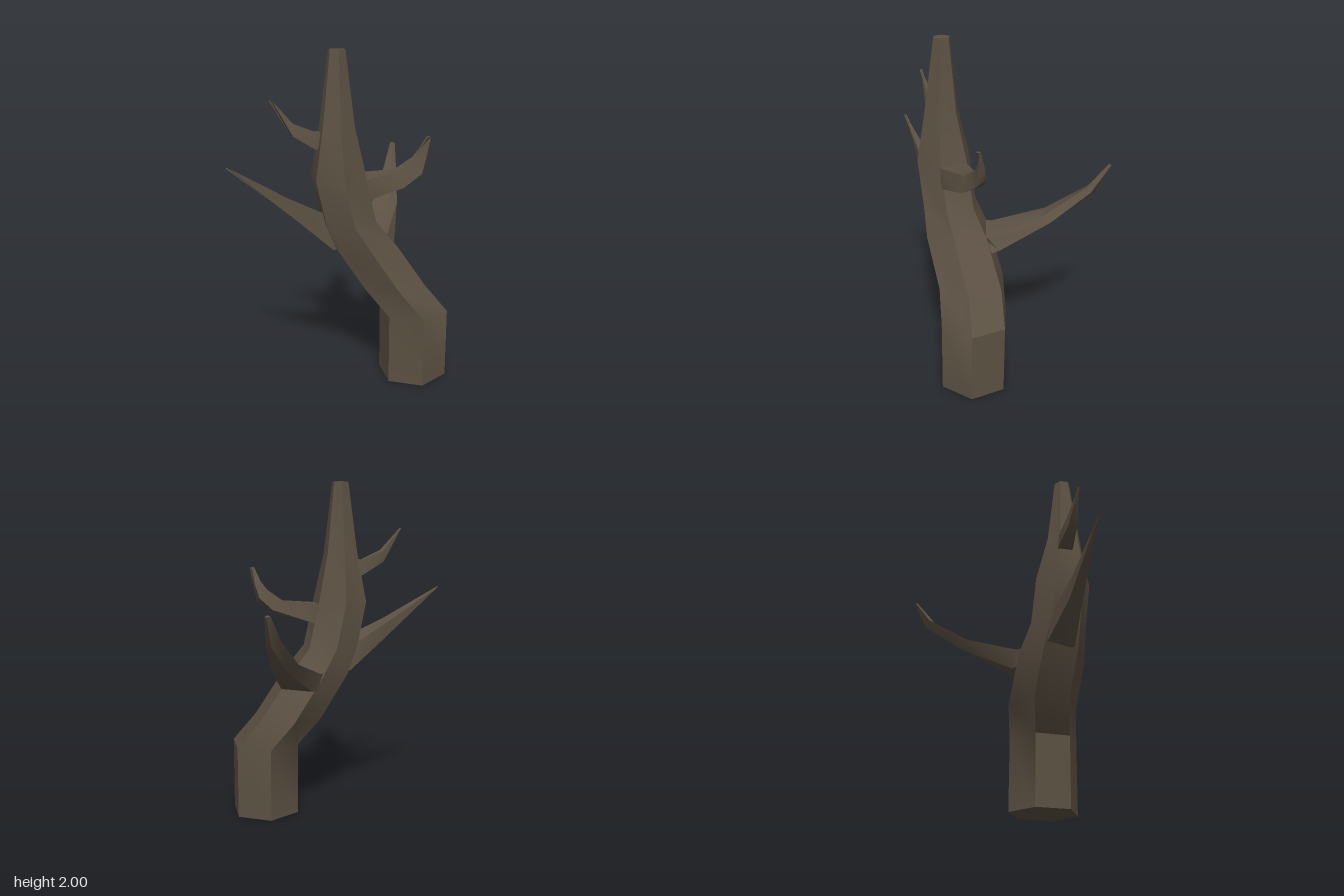
import * as THREE from 'three';
import { toCreasedNormals } from 'three/addons/utils/BufferGeometryUtils.js';

// Skin a list of rings (equal point counts) and close both ends
function loft(rings) {
  const n = rings[0].length;
  const tris = [];
  for (let i = 0; i < rings.length - 1; i++) {
    for (let j = 0; j < n; j++) {
      const k = (j + 1) % n;
      const a = rings[i][j], b = rings[i][k], c = rings[i + 1][k], d = rings[i + 1][j];
      tris.push([a, b, c], [a, c, d]);
    }
  }
  const first = rings[0], last = rings[rings.length - 1];
  for (let j = 1; j < n - 1; j++) {
    tris.push([first[0], first[j + 1], first[j]], [last[0], last[j], last[j + 1]]);
  }
  // Turn every face outward if the rings run the other way round
  let volume = 0;
  const [u, v, w] = [0, 1, 2].map(() => new THREE.Vector3());
  for (const [a, b, c] of tris) {
    volume += u.fromArray(a).dot(v.fromArray(b).cross(w.fromArray(c)));
  }
  if (volume < 0) tris.forEach((t) => t.reverse());
  const geometry = new THREE.BufferGeometry();
  geometry.setAttribute('position', new THREE.Float32BufferAttribute(tris.flat(2), 3));
  return toCreasedNormals(geometry, 0.6);
}

// Level hexagon with corners on the x axis
function hexagon([x, y, z, r]) {
  return Array.from({ length: 6 }, (_, i) => {
    const a = (i * Math.PI) / 3;
    return [x + r * Math.cos(a), y, z + r * Math.sin(a)];
  });
}

// Small square ring closing a branch tip
function tip(x, y, z, r) {
  return [[x - r, y, z - r], [x - r, y, z + r], [x + r, y, z + r], [x + r, y, z - r]];
}

export function createModel() {
  const tree = new THREE.Group();
  tree.name = 'deadTree';
  const bark = new THREE.MeshStandardMaterial({ color: 0x5c5143 });
  const add = (name, rings) => {
    const mesh = new THREE.Mesh(loft(rings), bark);
    mesh.name = name;
    tree.add(mesh);
  };

  // Bent six-sided trunk: centre x, y, z and radius
  add('trunk', [
    [0.212, 0, 0.243, 0.212],
    [0.212, 0.43, 0.243, 0.212],
    [0.12, 0.6, 0.135, 0.211],
    [-0.03, 0.86, 0.055, 0.205],
    [-0.12, 1.02, 0.015, 0.17],
    [-0.177, 1.29, -0.005, 0.168],
    [-0.187, 1.58, -0.002, 0.105],
    [-0.18, 2, -0.005, 0.05],
  ].map(hexagon));

  // Each branch ring runs: top back, top front, bottom front, bottom back
  add('leftRearBranch', [
    [[0.05, 0.89, -0.11], [0.13, 0.87, 0.05], [0.22, 0.79, 0.07], [0.1, 0.79, -0.11]],
    [[0.09, 0.89, -0.13], [0.18, 0.87, 0.05], [0.25, 0.8, 0.04], [0.14, 0.79, -0.11]],
    [[0.38, 1.0, -0.265], [0.42, 0.99, -0.17], [0.48, 0.97, -0.15], [0.43, 0.95, -0.24]],
    [[0.6, 1.16, -0.385], [0.61, 1.16, -0.33], [0.645, 1.14, -0.315], [0.65, 1.13, -0.37]],
    [[0.7, 1.3, -0.425], [0.705, 1.305, -0.405], [0.72, 1.295, -0.4], [0.72, 1.295, -0.415]],
  ]);

  add('rightRearBranch', [
    [[-0.17, 1.05, -0.1], [-0.22, 1.07, 0], [-0.19, 0.86, 0.02], [-0.12, 0.87, -0.1]],
    [[-0.23, 1.06, -0.135], [-0.29, 1.09, -0.02], [-0.24, 0.86, 0.02], [-0.16, 0.88, -0.12]],
    [[-0.42, 1.17, -0.2], [-0.44, 1.18, -0.13], [-0.4, 1.04, -0.1], [-0.38, 1.05, -0.18]],
    tip(-0.715, 1.37, -0.325, 0.006),
  ]);

  add('upperRightBranch', [
    [[-0.2, 1.56, -0.06], [-0.25, 1.56, -0.02], [-0.26, 1.44, -0.03], [-0.2, 1.44, -0.08]],
    [[-0.25, 1.54, -0.12], [-0.3, 1.54, -0.06], [-0.31, 1.46, -0.06], [-0.25, 1.45, -0.13]],
    [[-0.37, 1.59, -0.18], [-0.39, 1.6, -0.14], [-0.4, 1.53, -0.13], [-0.38, 1.53, -0.18]],
    tip(-0.487, 1.73, -0.21, 0.006),
  ]);

  add('frontBranch', [
    [[-0.1, 1.28, -0.02], [-0.15, 1.28, 0.12], [-0.12, 1.16, 0.13], [-0.06, 1.16, -0.02]],
    [[-0.01, 1.285, 0], [-0.1, 1.28, 0.14], [-0.07, 1.16, 0.155], [0.02, 1.17, 0.01]],
    [[0.15, 1.3, 0.13], [0.11, 1.3, 0.2], [0.12, 1.21, 0.235], [0.21, 1.25, 0.16]],
    [[0.22, 1.37, 0.2], [0.21, 1.37, 0.24], [0.23, 1.28, 0.275], [0.27, 1.32, 0.21]],
    [[0.245, 1.42, 0.23], [0.24, 1.43, 0.255], [0.255, 1.38, 0.285], [0.275, 1.4, 0.245]],
    tip(0.262, 1.5, 0.29, 0.01),
  ]);

  return tree;
}
